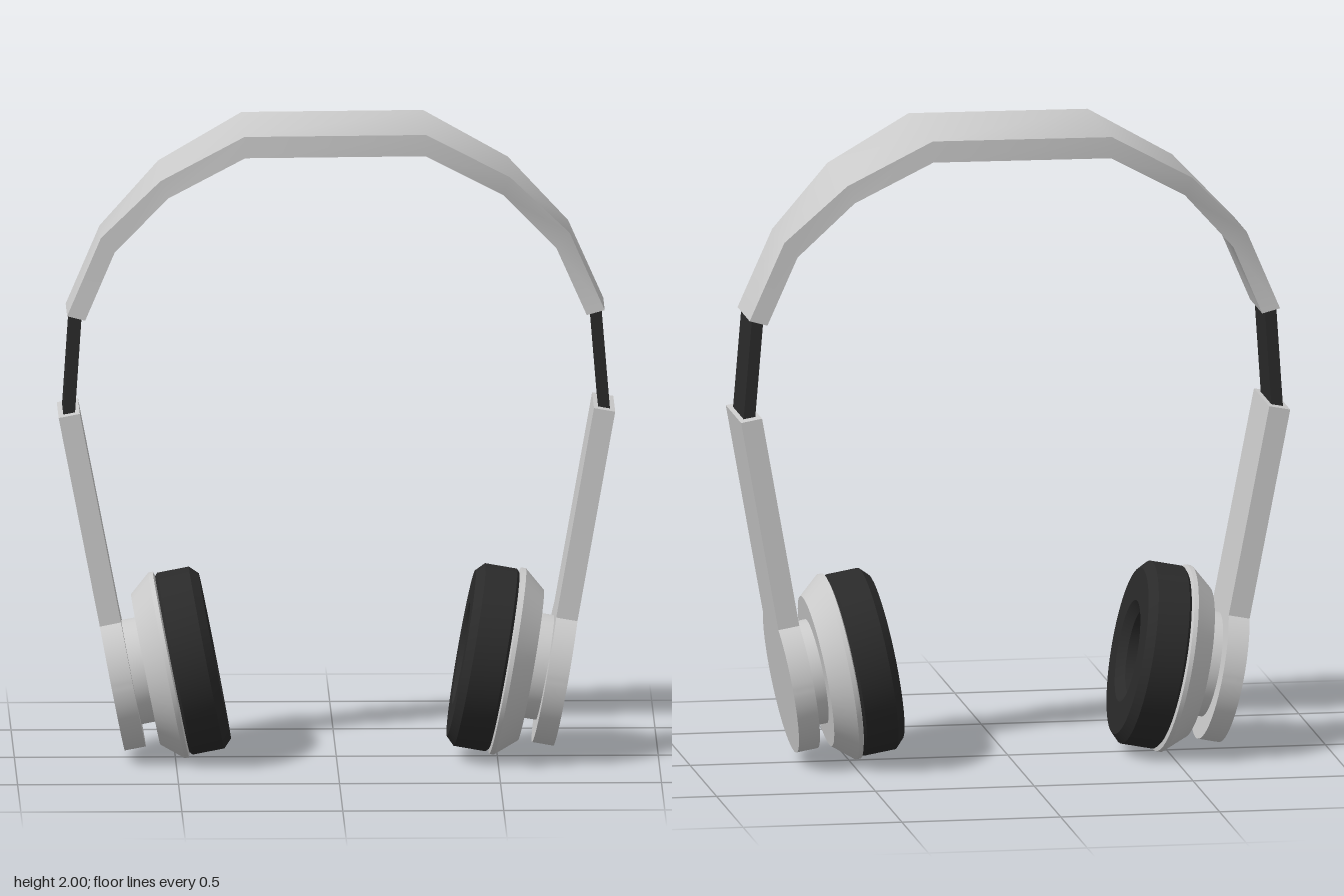
import * as THREE from 'three';
import { toCreasedNormals } from 'three/addons/utils/BufferGeometryUtils.js';

const grey = new THREE.MeshStandardMaterial({ color: 0xcccccc });
const dark = new THREE.MeshStandardMaterial({ color: 0x2a2a2a });
const TILT = 0.184; // lean of each arm and ear cup

function mesh(name, geometry, material) {
  const m = new THREE.Mesh(geometry, material);
  m.name = name;
  return m;
}

// Profile of [radius, distance along the ear axis], turned about local x
function turned(name, profile, material) {
  const geo = new THREE.LatheGeometry(profile.map(([r, d]) => new THREE.Vector2(r, d)), 48);
  geo.rotateZ(-Math.PI / 2);
  return mesh(name, toCreasedNormals(geo, 0.45), material);
}

// Faceted band: a segmented box whose columns follow half-sections
function headband() {
  // outer x, outer y, inner x, inner y, half width
  const half = [
    [0.835, 1.422, 0.779, 1.407, 0.115],
    [0.728, 1.667, 0.686, 1.62, 0.115],
    [0.543, 1.857, 0.52, 1.802, 0.19],
    [0.282, 2.0, 0.28, 1.933, 0.229],
  ];
  const mirrored = half.map(([a, b, c, d, w]) => [-a, b, -c, d, w]);
  const sections = [...mirrored, ...half.reverse()];
  const n = sections.length - 1;
  const geo = new THREE.BoxGeometry(1, 1, 1, n, 1, 1);
  const p = geo.attributes.position;
  for (let i = 0; i < p.count; i++) {
    const [ox, oy, ix, iy, w] = sections[Math.round((p.getX(i) + 0.5) * n)];
    const outer = p.getY(i) > 0;
    p.setXYZ(i, outer ? ox : ix, outer ? oy : iy, Math.sign(p.getZ(i)) * w);
  }
  return mesh('headband', toCreasedNormals(geo, 0.7), grey);
}

// Flat arm ending in a round disc, outer face at local x = 0
function arm() {
  const r = 0.235, w = 0.145, top = 0.855, thick = 0.067;
  const a = Math.acos(w / r);
  const shape = new THREE.Shape();
  shape.moveTo(w, top);
  shape.lineTo(-w, top);
  shape.absarc(0, 0, r, Math.PI - a, 2 * Math.PI + a, false);
  shape.closePath();
  const geo = new THREE.ExtrudeGeometry(shape, { depth: thick, bevelEnabled: false, curveSegments: 40 });
  geo.rotateY(Math.PI / 2).translate(-thick, 0, 0);
  return mesh('arm', toCreasedNormals(geo, 0.45), grey);
}

function side(name) {
  const group = new THREE.Group();
  group.name = name;

  // Slider between arm and headband
  const slider = mesh('slider', new THREE.BoxGeometry(0.036, 0.36, 0.2), dark);
  slider.position.set(0.82, 1.255, 0);
  slider.rotation.z = 0.075;

  // Arm and ear cup share one tilted frame
  const ear = new THREE.Group();
  ear.name = 'earPiece';
  ear.position.set(0.708, 0.266, 0);
  ear.rotation.z = -TILT;
  ear.add(
    arm(),
    turned('neck', [[0.165, -0.125], [0.165, -0.06]], grey),
    turned('cupHousing', [
      [0, -0.22], [0.268, -0.2], [0.294, -0.192], [0.294, -0.178], [0.238, -0.112], [0, -0.112],
    ], grey),
    turned('earCushion', [
      [0.125, -0.212], [0.13, -0.305], [0.16, -0.331], [0.262, -0.331],
      [0.288, -0.305], [0.288, -0.205], [0.272, -0.19],
    ], dark),
  );
  group.add(slider, ear);
  return group;
}

export function createModel() {
  const model = new THREE.Group();
  model.name = 'headphones';

  // The whole set leans very slightly to one side
  const body = new THREE.Group();
  body.name = 'body';
  const lean = 0.008;
  body.rotation.z = lean;
  body.position.set(Math.sin(lean), 1 - Math.cos(lean), 0);

  const right = side('rightSide');
  right.rotation.y = Math.PI;
  body.add(headband(), side('leftSide'), right);
  model.add(body);
  return model;
}
